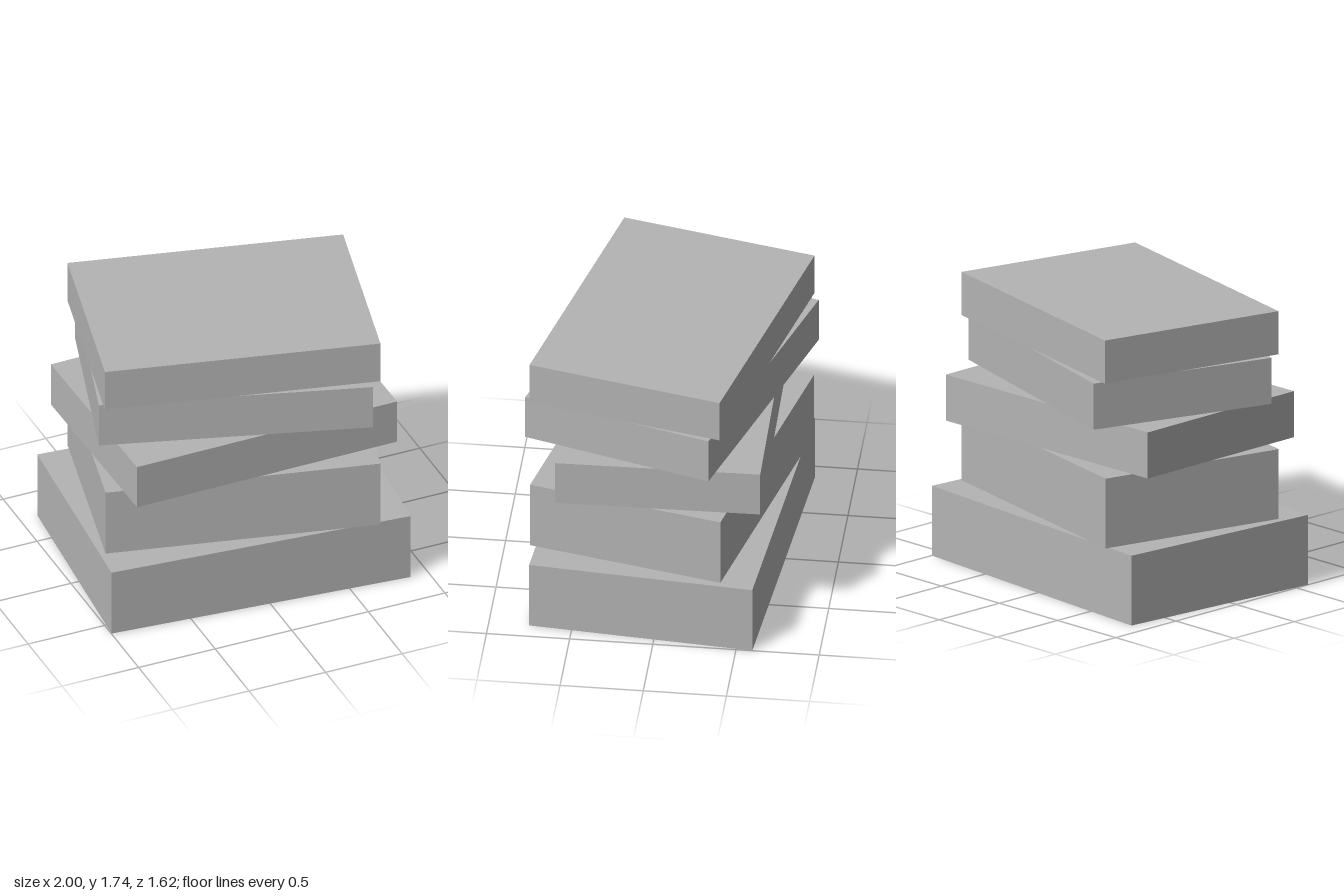
import * as THREE from 'three';

// Stack of plain slabs, each turned a little about the vertical axis
const SLABS = [
  // name, width, depth, bottom, top, turn in degrees
  ['bottomSlab', 1.89, 1.36, 0, 0.435, -4.85],
  ['secondSlab', 1.673, 1.206, 0.44, 0.875, -12.95],
  ['middleSlab', 1.71, 1.231, 0.88, 1.167, 0.84],
  ['fourthSlab', 1.651, 1.193, 1.174, 1.461, -16.95],
  ['topSlab', 1.675, 1.207, 1.467, 1.736, -13.2],
];

export function createModel() {
  const model = new THREE.Group();
  model.name = 'slabStack';
  const grey = new THREE.MeshStandardMaterial({ color: 0xb4b4b4 });
  grey.name = 'grey';

  for (const [name, width, depth, bottom, top, turn] of SLABS) {
    const slab = new THREE.Mesh(new THREE.BoxGeometry(width, top - bottom, depth), grey);
    slab.name = name;
    slab.position.y = (bottom + top) / 2;
    slab.rotation.y = THREE.MathUtils.degToRad(turn);
    model.add(slab);
  }
  return model;
}
